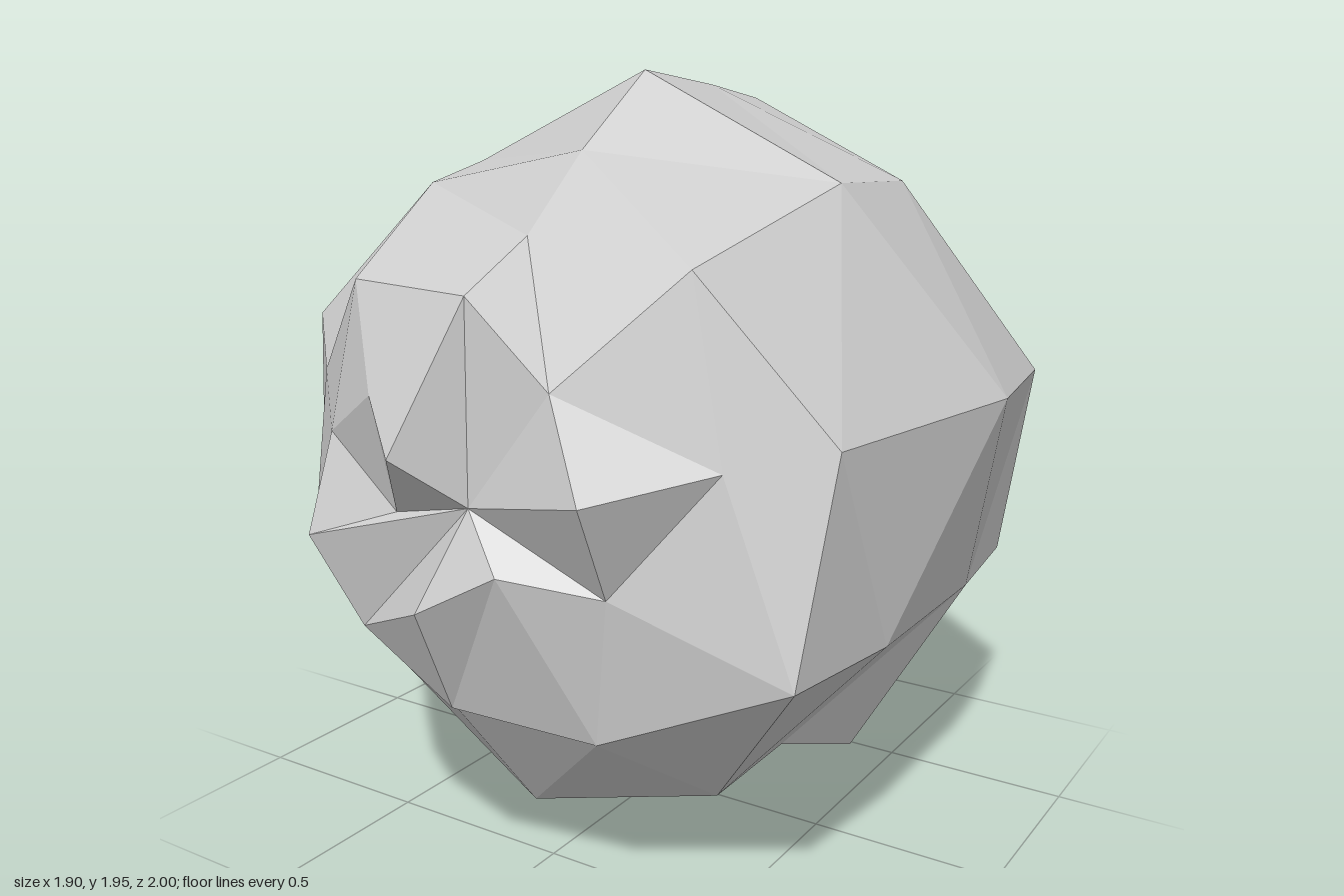
import * as THREE from 'three';

// Ten ridges run from front to back around the z axis.
// Each point is [z, distance from the axis, optional turn in degrees].
const RIDGES = [
  [[.90, .39], [.65, .59], [.51, .80], [-.01, .975], [-.49, .88], [-.77, .58, 11]],
  [[.83, .40], [.62, .73], [.21, .94], [-.16, .92], [-.40, .78], [-.81, .45]],
  [[.83, .49], [.62, .60], [.43, .78], [.19, .96], [-.13, .925], [-.37, .89], [-.52, .67], [-.87, .43]],
  [[1.0, .16, -16], [.92, .31], [.80, .58], [.40, .80], [.17, .85], [-.12, .91], [-.35, .85], [-.67, .70], [-.77, .53]],
  [[.87, .14, 26], [.85, .38], [.65, .61], [.44, .85], [.09, .85], [-.17, .82], [-.38, .89], [-.50, .72], [-.71, .69]],
  [[.93, .37], [.70, .59], [.50, .77], [.13, .98], [-.48, .87], [-.65, .57]],
  [[.86, .41], [.40, .86], [.20, .96], [-.20, .92], [-.50, .80]],
  [[.96, .20], [.82, .48], [.65, .60, -13], [.47, .88], [0, .90], [-.24, 1.0], [-.62, .73], [-.82, .45, -22]],
  [[.90, .19, 27], [.74, .60], [.43, .86], [.10, .86], [-.19, .98], [-.45, .77], [-.81, .60]],
  [[.77, .39], [.65, .82], [.26, .86], [-.24, .86], [-.55, .83], [-.78, .54]],
];
// jagged rim around the back spike, one point per ridge
const BACK_RIM = [
  [.35, 1.09, -.87], [.20, 1.15, -.87], [.06, 1.20, -.87], [-.08, 1.22, -.86], [-.22, 1.23, -.85],
  [-.12, 1.0, -.90], [-.27, .79, -.96], [-.06, .77, -.90], [.14, .75, -.84], [.18, 1.04, -.96],
];

function rockGeometry() {
  const grid = RIDGES.map((ridge, i) => {
    const points = ridge.map(([z, r, turn = 0]) => {
      const a = THREE.MathUtils.degToRad(13 + 36 * i + turn);
      return new THREE.Vector3(r * Math.cos(a), 1 + r * Math.sin(a), z);
    });
    return [...points, new THREE.Vector3(...BACK_RIM[i])];
  });
  const frontPit = new THREE.Vector3(.06, 1.03, .86);
  const backSpike = new THREE.Vector3(-.08, 1.15, -1);
  const corners = [];
  grid.forEach((p, i) => {
    const q = grid[(i + 1) % grid.length];
    corners.push(frontPit, p[0], q[0]);
    // stitch neighbouring ridges, always taking the shorter cross edge
    let a = 0, b = 0;
    while (a < p.length - 1 || b < q.length - 1) {
      const stepP = a < p.length - 1 ? p[a + 1].distanceTo(q[b]) : Infinity;
      const stepQ = b < q.length - 1 ? p[a].distanceTo(q[b + 1]) : Infinity;
      if (stepP < stepQ) corners.push(p[a], p[++a], q[b]);
      else corners.push(p[a], q[b + 1], q[b++]);
    }
    corners.push(backSpike, q[b], p[a]);
  });
  const geometry = new THREE.BufferGeometry().setFromPoints(corners);
  geometry.computeVertexNormals();
  return geometry;
}

export function createModel() {
  const group = new THREE.Group();
  group.name = 'rock';
  const boulder = new THREE.Mesh(
    rockGeometry(),
    new THREE.MeshStandardMaterial({ color: 0xcccccc, flatShading: true })
  );
  boulder.name = 'boulder';
  group.add(boulder);
  return group;
}
